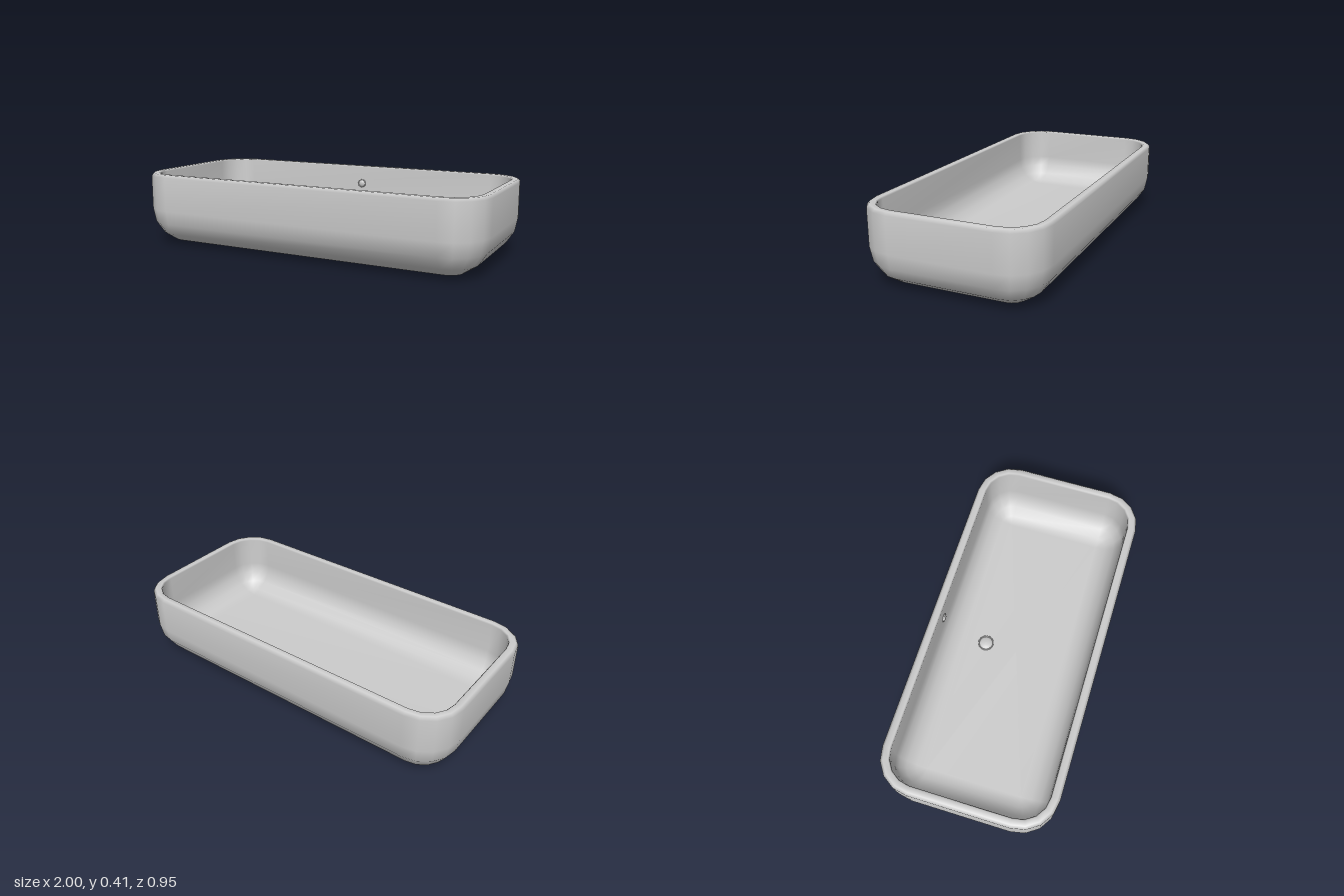
import * as THREE from 'three';
import { mergeVertices } from 'three/addons/utils/BufferGeometryUtils.js';

const HALF_X = 1, HALF_Z = 0.475, RADIUS = 0.204, HEIGHT = 0.41;
const WALL = 0.05, FLOOR = 0.08, BEVEL = 0.015, STEPS = 4;

const material = new THREE.MeshStandardMaterial({ color: 0xcccccc });

// Rounded rectangle in plan, inset from the outer wall
function ring(inset, y) {
  const points = [];
  const r = Math.max(RADIUS - inset, 0);
  const cx = HALF_X - RADIUS, cz = HALF_Z - RADIUS;
  const corners = [[1, 1], [-1, 1], [-1, -1], [1, -1]];
  corners.forEach(([sx, sz], q) => {
    for (let i = 0; i <= STEPS; i++) {
      const a = (q + i / STEPS) * Math.PI / 2;
      points.push([sx * cx + r * Math.cos(a), y, sz * cz + r * Math.sin(a)]);
    }
  });
  return points;
}

// Quarter-round between floor and wall, as [inset, y] pairs from the floor up
function fillet(inset, floor) {
  const r = RADIUS - inset;
  return Array.from({ length: STEPS + 1 }, (_, i) => {
    const a = i / STEPS * Math.PI / 2;
    return [RADIUS - r * Math.sin(a), floor + r * (1 - Math.cos(a))];
  });
}

// Shell: underside, outer wall, bevelled rim, inner wall and floor in one skin
function basinGeometry() {
  const profile = [
    ...fillet(0, 0),
    [0, HEIGHT - BEVEL], [BEVEL, HEIGHT],
    [WALL - BEVEL / 2, HEIGHT], [WALL, HEIGHT - BEVEL / 2],
    ...fillet(WALL, FLOOR).reverse(),
  ];
  const rings = profile.map(([inset, y]) => ring(inset, y));
  const n = rings[0].length;
  rings.unshift(Array(n).fill([0, 0, 0]));
  rings.push(Array(n).fill([0, FLOOR, 0]));

  const index = [];
  for (let j = 0; j < rings.length - 1; j++) {
    for (let i = 0; i < n; i++) {
      const a = j * n + i, b = j * n + (i + 1) % n;
      index.push(a, a + n, b, b, a + n, b + n);
    }
  }
  let geometry = new THREE.BufferGeometry();
  geometry.setAttribute('position', new THREE.Float32BufferAttribute(rings.flat(2), 3));
  geometry.setIndex(index);
  geometry = mergeVertices(geometry, 1e-5);
  geometry.computeVertexNormals();
  return geometry;
}

// Round fitting: low collar around a domed cap, facing +y
function fitting(name, r, h) {
  const group = new THREE.Group();
  group.name = name;
  const add = (part, pts) => {
    const geometry = new THREE.LatheGeometry(pts.map(([x, y]) => new THREE.Vector2(x * r, y * h)), 24);
    const mesh = new THREE.Mesh(geometry, material);
    mesh.name = part;
    group.add(mesh);
  };
  add(name + 'Collar', [[1, -0.5], [1, 0.3], [0.96, 0.45], [0.88, 0.45], [0.86, 0.1]]);
  add(name + 'Cap', [[0.86, 0], [0.82, 0.4], [0.6, 0.75], [0.3, 0.95], [0, 1]]);
  return group;
}

export function createModel() {
  const model = new THREE.Group();
  model.name = 'washBasin';

  const basin = new THREE.Mesh(basinGeometry(), material);
  basin.name = 'basin';
  model.add(basin);

  // Drain in the floor
  const drain = fitting('drain', 0.045, 0.014);
  drain.position.set(0, FLOOR, -0.185);
  model.add(drain);

  // Overflow on the inner back wall
  const overflow = fitting('overflow', 0.025, 0.012);
  overflow.rotation.x = Math.PI / 2;
  overflow.position.set(0, 0.303, -(HALF_Z - WALL));
  model.add(overflow);

  return model;
}
